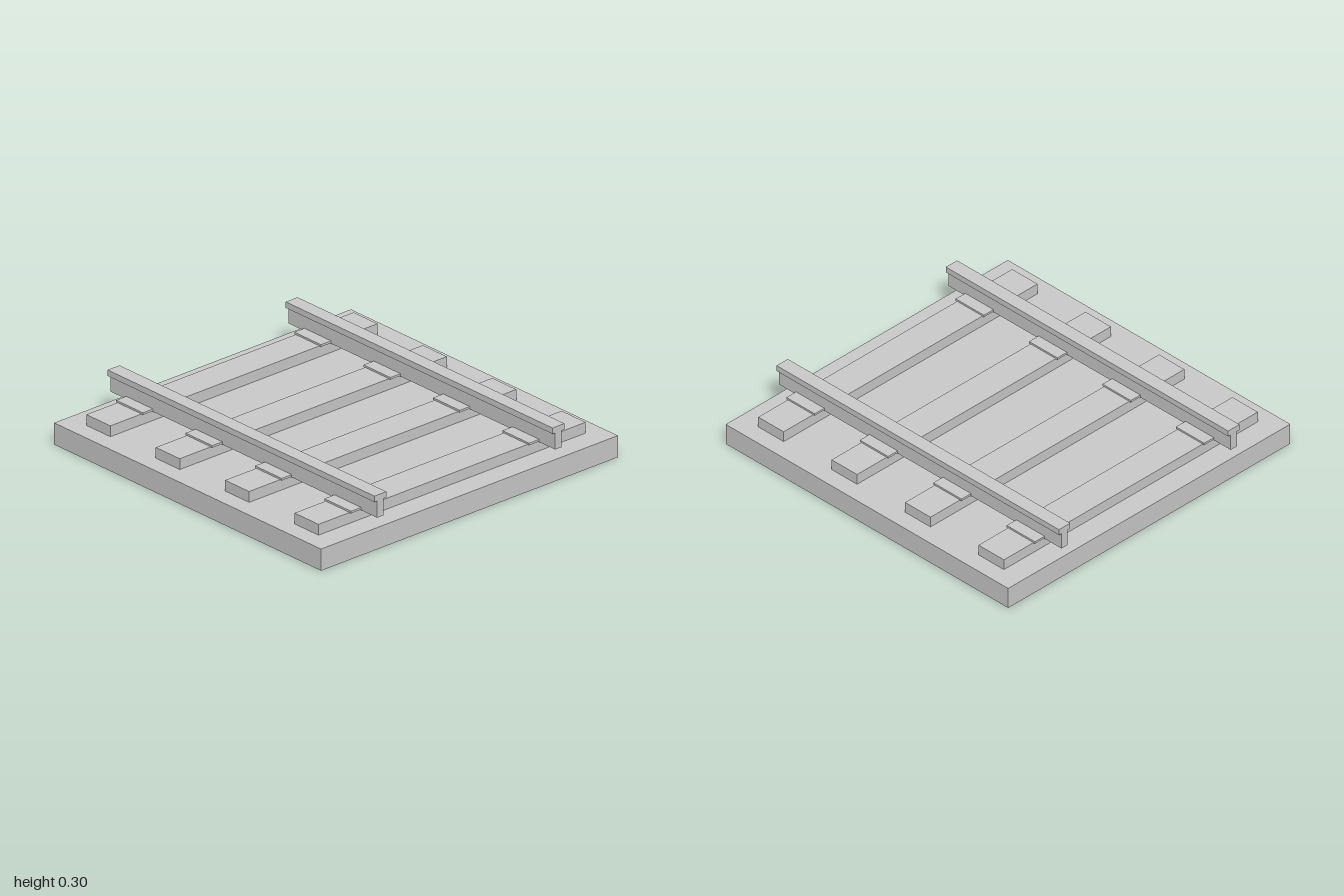
import * as THREE from 'three';

const material = new THREE.MeshStandardMaterial({ color: 0xcccccc, flatShading: true });

// Box spanning y0..y1, centred on x and z
function slab(name, width, y0, y1, depth, x = 0, z = 0) {
  const mesh = new THREE.Mesh(new THREE.BoxGeometry(width, y1 - y0, depth), material);
  mesh.name = name;
  mesh.position.set(x, (y0 + y1) / 2, z);
  return mesh;
}

export function createModel() {
  const model = new THREE.Group();
  model.name = 'railwayTrack';

  // Ballast bed
  model.add(slab('ballastBed', 2, 0, 0.12, 2));

  // Sleepers, each with a tie plate under both rails
  for (const z of [-0.78, -0.26, 0.26, 0.78]) {
    const sleeper = new THREE.Group();
    sleeper.name = 'sleeper';
    sleeper.position.z = z;
    sleeper.add(slab('sleeperBeam', 1.8, 0.12, 0.18, 0.18));
    for (const side of [-1, 1]) {
      sleeper.add(slab('tiePlate', 0.18, 0.178, 0.19, 0.2, side * 0.6));
    }
    model.add(sleeper);
  }

  // Rails: narrow web with a wider head on top
  for (const side of [-1, 1]) {
    const rail = new THREE.Group();
    rail.name = side > 0 ? 'leftRail' : 'rightRail';
    rail.position.x = side * 0.6;
    rail.add(slab('railWeb', 0.044, 0.175, 0.267, 2));
    rail.add(slab('railHead', 0.08, 0.267, 0.3, 2));
    model.add(rail);
  }

  return model;
}
